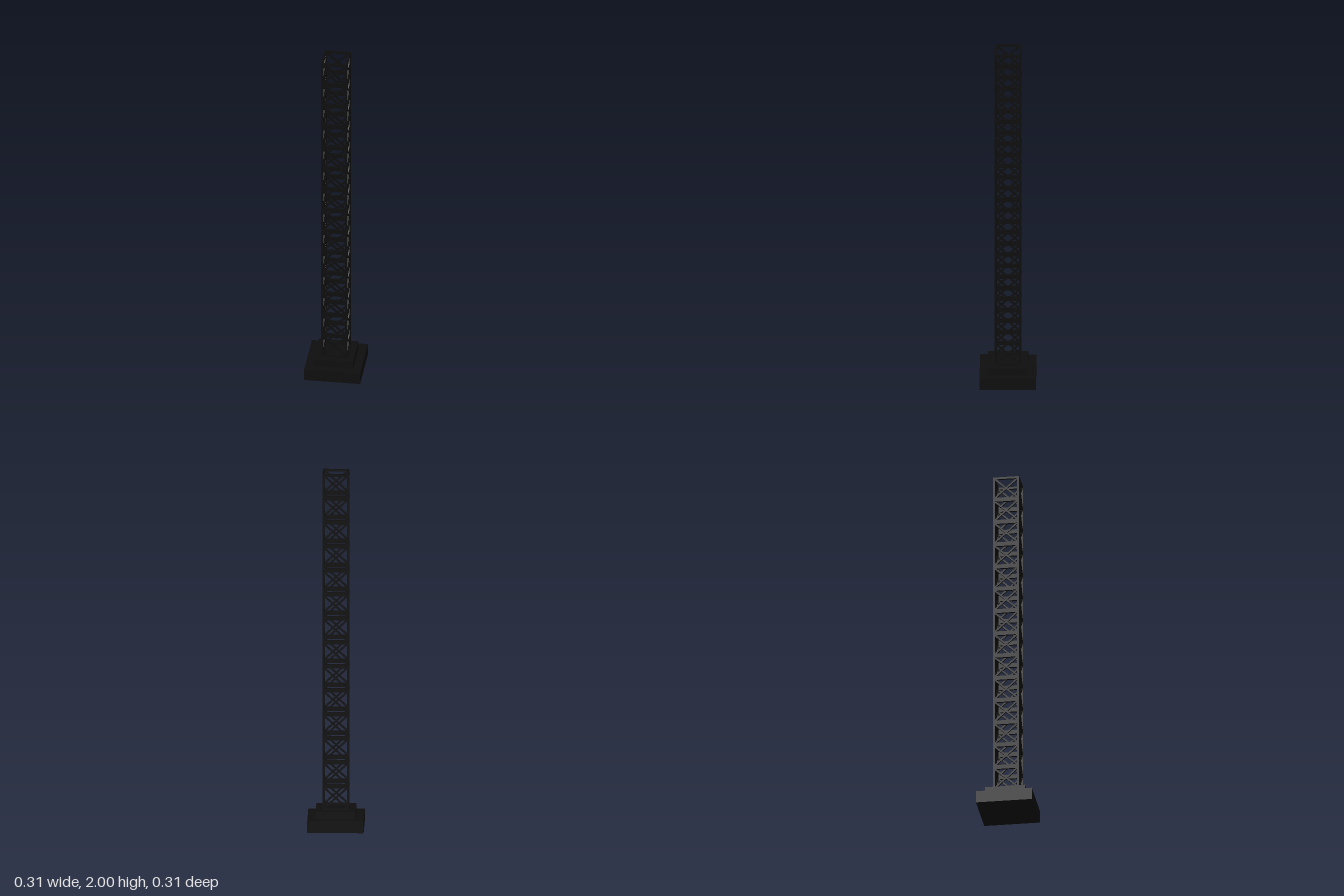
import * as THREE from 'three';

const BASE_TOP = 0.11, TOP = 2, SECTIONS = 14;
const HALF = 0.073;          // outer half width of the mast
const BAR = 0.012;           // posts and rails
const BRACE = 0.009;         // diagonal braces
const C = HALF - BAR / 2;    // bar centre line

export function createModel() {
  const model = new THREE.Group();
  const material = new THREE.MeshStandardMaterial({ color: 0x0d0d0d });

  function box(parent, name, w, h, d, x, y, z) {
    const mesh = new THREE.Mesh(new THREE.BoxGeometry(w, h, d), material);
    mesh.name = name;
    mesh.position.set(x, y, z);
    parent.add(mesh);
    return mesh;
  }

  // Stepped foot
  box(model, 'basePlate', 0.31, 0.068, 0.31, 0, 0.034, 0);
  box(model, 'basePlinth', 0.22, BASE_TOP - 0.068, 0.22, 0, (BASE_TOP + 0.068) / 2, 0);

  // Corner posts
  for (const sx of [-1, 1]) {
    for (const sz of [-1, 1]) {
      box(model, 'cornerPost', BAR, TOP - BASE_TOP, BAR, sx * C, (TOP + BASE_TOP) / 2, sz * C);
    }
  }

  // Stacked lattice sections, each with its own bottom and top frame
  const pitch = (TOP - BASE_TOP) / SECTIONS;
  const inner = 2 * (HALF - BAR);
  const rise = pitch - 2 * BAR;
  const braceLength = Math.hypot(inner, rise) + BAR * 0.6;
  const braceAngle = Math.atan2(rise, inner);

  for (let i = 0; i < SECTIONS; i++) {
    const section = new THREE.Group();
    section.name = 'latticeSection';
    section.position.y = BASE_TOP + pitch * (i + 0.5);
    model.add(section);

    for (let side = 0; side < 4; side++) {
      const panel = new THREE.Group();
      panel.name = 'latticePanel';
      panel.rotation.y = side * Math.PI / 2;
      section.add(panel);
      for (const s of [-1, 1]) {
        box(panel, 'rail', inner, BAR, BAR, 0, s * (pitch - BAR) / 2, C);
        box(panel, 'diagonalBrace', braceLength, BRACE, BRACE, 0, 0, C).rotation.z = s * braceAngle;
      }
    }
  }
  return model;
}
